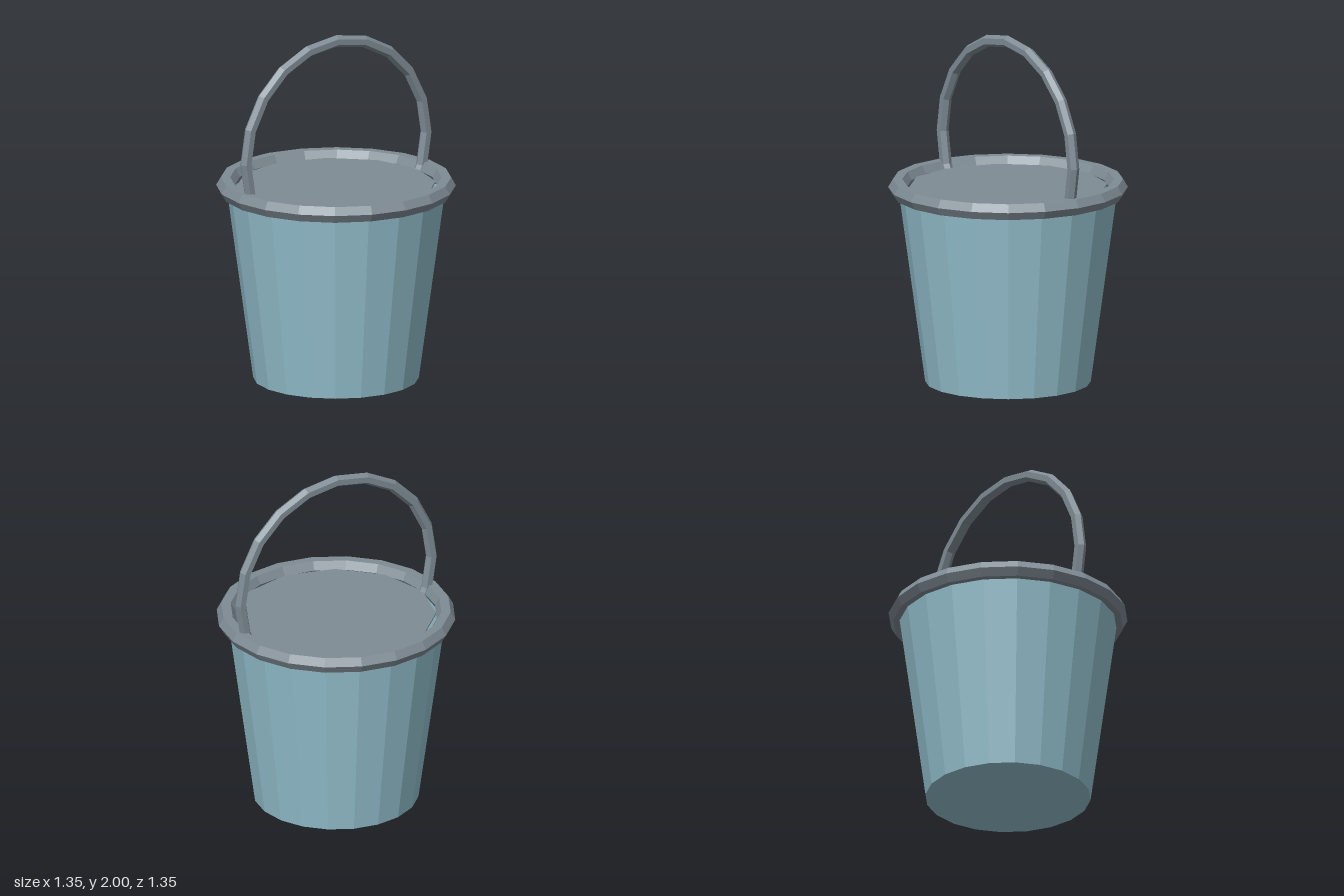
import * as THREE from 'three';

const SIDES = 20;

// Faceted look: unshared vertices with one normal per face
function faceted(geometry) {
  const flat = geometry.index ? geometry.toNonIndexed() : geometry;
  flat.computeVertexNormals();
  return flat;
}

export function createModel() {
  const bucket = new THREE.Group();
  bucket.name = 'bucket';

  const blue = new THREE.MeshStandardMaterial({ color: 0x94c1cf });
  blue.name = 'pale blue';
  const grey = new THREE.MeshStandardMaterial({ color: 0x7f8c95 });
  grey.name = 'slate grey';

  function add(name, geometry, material) {
    const mesh = new THREE.Mesh(faceted(geometry), material);
    mesh.name = name;
    bucket.add(mesh);
    return mesh;
  }

  // Tapered shell: floor, outer wall, lip, inner wall, inner floor
  const profile = [
    [0, 0], [0.468, 0], [0.62, 1.12], [0.605, 1.12], [0.455, 0.02], [0, 0.02],
  ].map(([r, y]) => new THREE.Vector2(r, y));
  add('body', new THREE.LatheGeometry(profile, SIDES), blue);

  // Hexagonal rolled rim
  const rim = new THREE.TorusGeometry(0.624, 0.053, 6, SIDES).rotateX(Math.PI / 2);
  add('rim', rim, grey).position.y = 1.124;

  // Twelve-sided surface of the contents, just inside the rim
  const contents = new THREE.CylinderGeometry(0.565, 0.565, 0.008, 12);
  add('contents', contents, grey).position.y = 1.127;

  // Hoop handle; its ends run down through the contents
  const step = (2 * Math.PI) / SIDES;
  const handle = new THREE.TorusGeometry(0.625, 0.034, 6, 14, 14 * step).rotateZ(-2 * step);
  add('handle', handle, grey).position.y = 1.341;

  return bucket;
}
